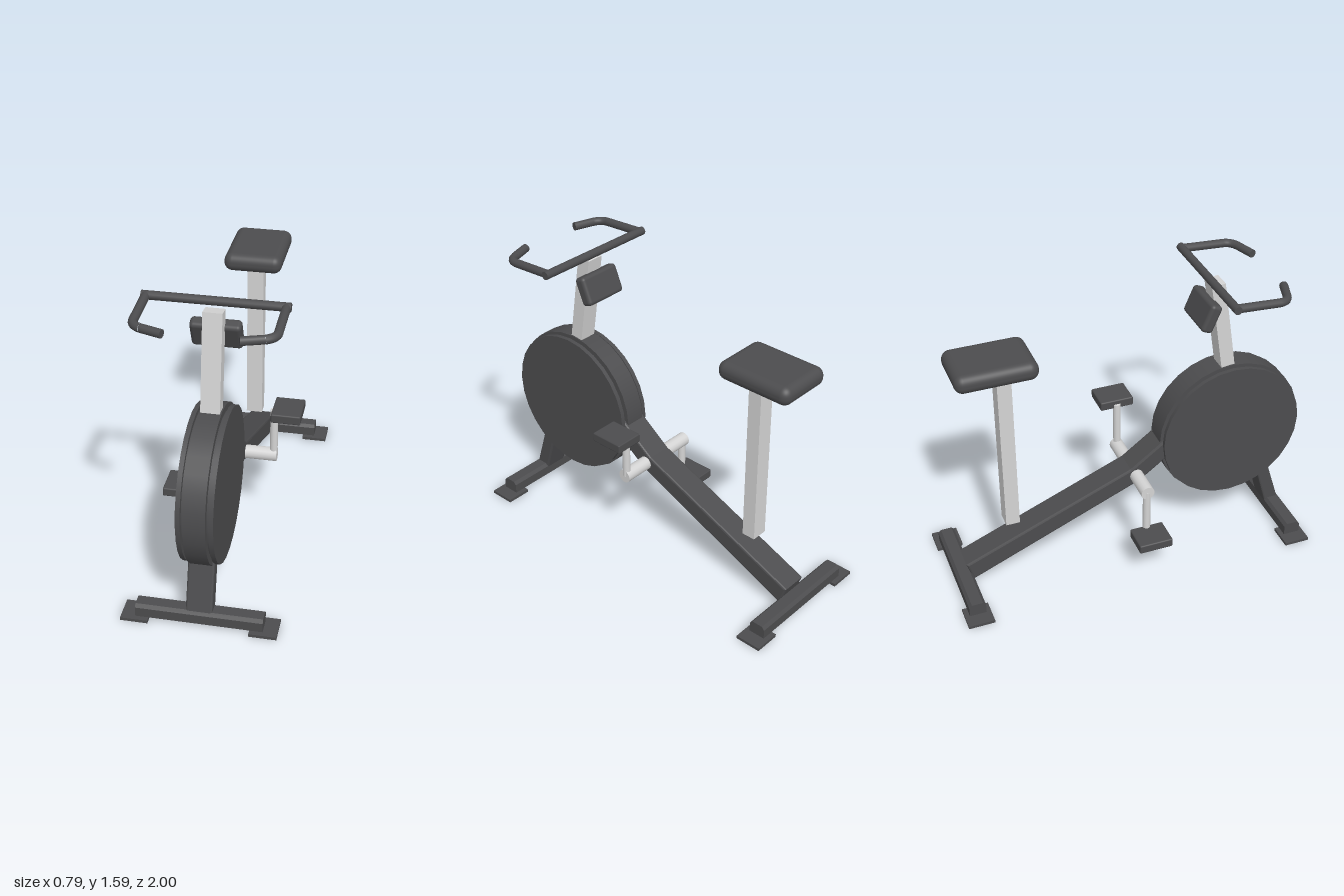
import * as THREE from 'three';
import { RoundedBoxGeometry } from 'three/addons/geometries/RoundedBoxGeometry.js';

const dark = new THREE.MeshStandardMaterial({ color: 0x4c4c4e });
dark.name = 'charcoal';
const light = new THREE.MeshStandardMaterial({ color: 0xd4d4d4 });
light.name = 'silver';

const V = (x, y, z) => new THREE.Vector3(x, y, z);

export function createModel() {
  const model = new THREE.Group();
  model.name = 'exerciseBike';

  function add(name, geometry, material, x = 0, y = 0, z = 0, parent = model) {
    const mesh = new THREE.Mesh(geometry, material);
    mesh.name = name;
    mesh.position.set(x, y, z);
    parent.add(mesh);
    return mesh;
  }

  // Round bar between two points
  function bar(name, a, b, radius, material, parent = model, sides = 12) {
    const mesh = add(name, new THREE.CylinderGeometry(radius, radius, a.distanceTo(b), sides), material, 0, 0, 0, parent);
    mesh.position.copy(a).add(b).multiplyScalar(0.5);
    mesh.quaternion.setFromUnitVectors(V(0, 1, 0), b.clone().sub(a).normalize());
    return mesh;
  }

  // Side profile given as [z, y] points, extruded across x
  function sideProfile(points, width, bevel) {
    const shape = new THREE.Shape(points.map(([z, y]) => new THREE.Vector2(z, y)));
    const geometry = new THREE.ExtrudeGeometry(shape, {
      depth: width - 2 * bevel, bevelEnabled: bevel > 0,
      bevelSize: bevel, bevelThickness: bevel, bevelOffset: -bevel, bevelSegments: 2,
    });
    geometry.translate(0, 0, bevel - width / 2);
    geometry.rotateY(-Math.PI / 2);
    return geometry;
  }

  // Floor stabilisers with flat pads
  for (const [name, z] of [['front', 0.89], ['rear', -0.93]]) {
    const profile = [[-0.045, 0.018], [0.045, 0.018], [0.045, 0.07], [0.03, 0.087], [-0.03, 0.087], [-0.045, 0.07]];
    add(name + 'Stabiliser', sideProfile(profile, 0.645, 0), dark, 0, 0, z);
    for (const side of [-1, 1]) {
      add(name + 'FootPad', new THREE.BoxGeometry(0.14, 0.016, 0.14), dark, side * 0.325, 0.008, z);
    }
  }

  // Front leg and bent main beam
  add('frontLeg', sideProfile([[0.855, 0.03], [0.93, 0.06], [0.82, 0.42], [0.745, 0.42]], 0.135, 0.01), dark);
  add('mainBeam', sideProfile([
    [0.3, 0.605], [0.3, 0.73], [0.195, 0.65], [0.02, 0.52],
    [-0.915, 0.137], [-0.88, 0.033], [0.07, 0.435],
  ], 0.145, 0.01), dark);

  // Flywheel: central rim, recessed core and two side discs
  const wheel = new THREE.Group();
  wheel.name = 'flywheel';
  wheel.position.set(0, 0.64, 0.596);
  model.add(wheel);
  const disc = (name, radius, width, x) => {
    add(name, new THREE.CylinderGeometry(radius, radius, width, 28).rotateZ(Math.PI / 2), dark, x, 0, 0, wheel);
  };
  disc('wheelRim', 0.406, 0.11, 0);
  disc('wheelCore', 0.37, 0.14, 0);
  disc('wheelCover', 0.395, 0.023, 0.08);
  disc('wheelCover', 0.395, 0.023, -0.08);

  // Cranks and pedals
  const axleY = 0.478, axleZ = 0.05;
  bar('crankAxle', V(-0.24, axleY, axleZ), V(0.24, axleY, axleZ), 0.037, light, model, 16);
  for (const side of [-1, 1]) {
    const pedalY = side > 0 ? 0.755 : 0.215;
    bar('crankArm', V(side * 0.222, axleY, axleZ), V(side * 0.222, pedalY, axleZ), 0.021, light);
    add('pedal', new RoundedBoxGeometry(0.155, 0.05, 0.187, 1, 0.007), dark, side * 0.294, pedalY, axleZ);
  }

  // Seat and post
  add('seatPost', new THREE.BoxGeometry(0.09, 0.95, 0.075), light, 0, 0.8, -0.64);
  add('seat', new RoundedBoxGeometry(0.315, 0.1, 0.425, 5, 0.046), dark, 0, 1.314, -0.693);

  // Leaning handlebar post
  const postLean = Math.atan2(-0.075, 0.49);
  const post = add('handlebarPost', new THREE.BoxGeometry(0.096, 0.56, 0.075), light, 0, 1.26, 0.539);
  post.rotation.x = postLean;

  // Tilted console
  const console_ = add('console', new RoundedBoxGeometry(0.25, 0.155, 0.066, 4, 0.02), dark, 0, 1.39, 0.435);
  console_.rotation.x = 0.4;

  // Handlebar: crossbar, forward arms, rounded corners and inward grips
  const handlebar = new THREE.Group();
  handlebar.name = 'handlebar';
  model.add(handlebar);
  const r = 0.022;
  bar('crossbar', V(-0.356, 1.567, 0.458), V(0.356, 1.567, 0.458), r, dark, handlebar);
  for (const s of [-1, 1]) {
    const elbow = [V(s * 0.334, 1.553, 0.69), V(s * 0.334, 1.551, 0.735), V(s * 0.285, 1.55, 0.755)];
    bar('handlebarArm', V(s * 0.334, 1.567, 0.458), elbow[0], r, dark, handlebar);
    add('handlebarElbow', new THREE.TubeGeometry(new THREE.QuadraticBezierCurve3(...elbow), 8, r, 12), dark, 0, 0, 0, handlebar);
    bar('handlebarGrip', elbow[2], V(s * 0.177, 1.549, 0.79), r, dark, handlebar);
  }

  model.position.x = -0.003;
  return model;
}
